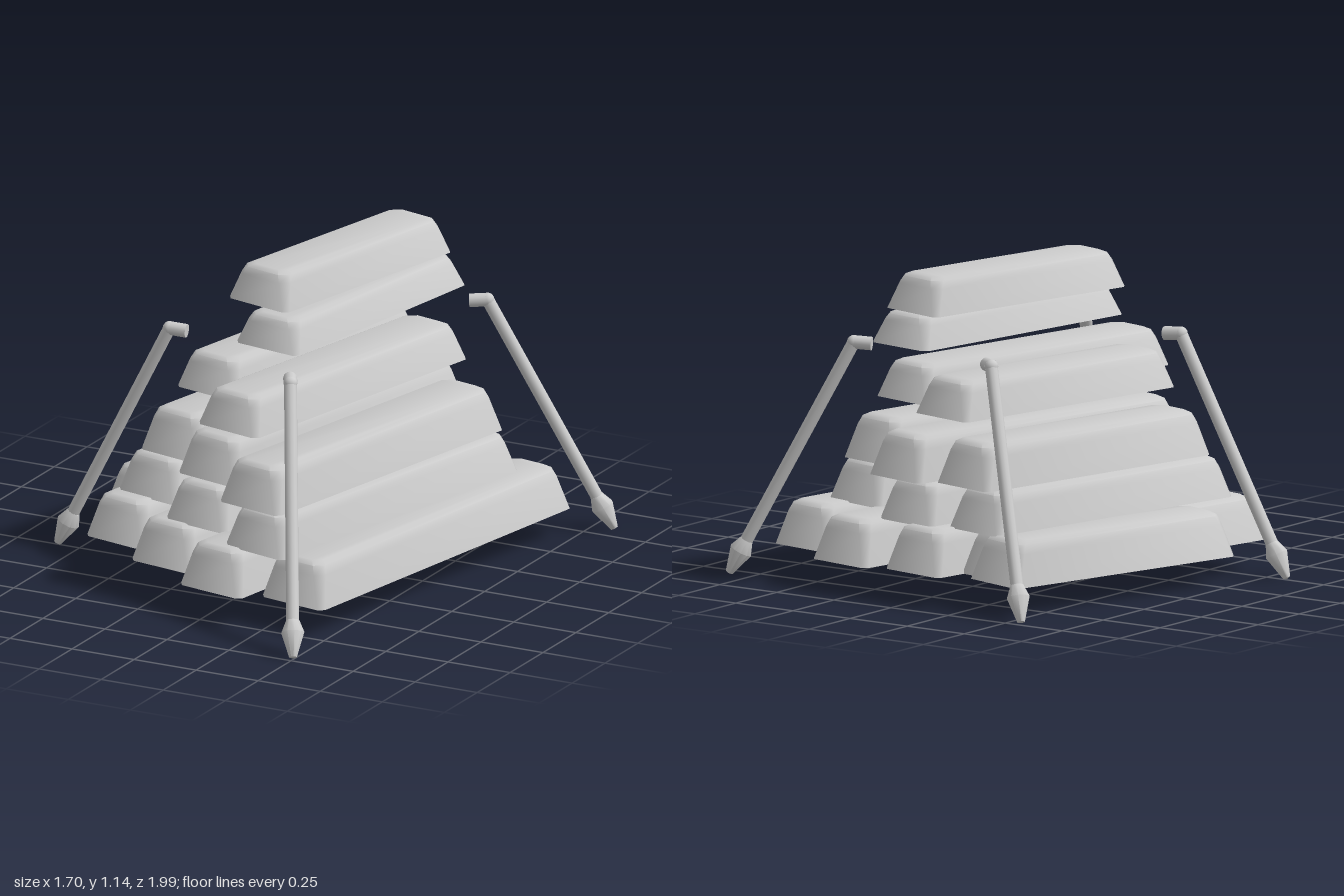
import * as THREE from 'three';
import { toCreasedNormals } from 'three/addons/utils/BufferGeometryUtils.js';

const metal = new THREE.MeshStandardMaterial({ color: 0xcccccc });
metal.name = 'grey metal';

// Tapered bar with chamfered corners and a softened top edge, base at y = 0
function barGeometry(width, length, height) {
  // [height fraction, inset, corner chamfer]
  const levels = [[0, 0, 0.02], [0.72, 0.026, 0.03], [0.92, 0.038, 0.032], [1, 0.06, 0.03]];
  const pos = [], index = [];
  for (const [t, inset, c] of levels) {
    const w = width / 2 - inset, l = length / 2 - inset;
    const ring = [[w, -l + c], [w, l - c], [w - c, l], [-w + c, l], [-w, l - c], [-w, -l + c], [-w + c, -l], [w - c, -l]];
    for (const [x, z] of ring) pos.push(x, t * height, z);
  }
  const n = 8, last = (levels.length - 1) * n;
  for (let j = 0; j < levels.length - 1; j++) {
    for (let i = 0; i < n; i++) {
      const a = j * n + i, b = j * n + (i + 1) % n;
      index.push(a, a + n, b, b, a + n, b + n);
    }
  }
  // bottom and top caps
  for (let i = 1; i < n - 1; i++) {
    index.push(0, i, i + 1);
    index.push(last, last + i + 1, last + i);
  }
  const g = new THREE.BufferGeometry();
  g.setAttribute('position', new THREE.Float32BufferAttribute(pos, 3));
  g.setIndex(index);
  return toCreasedNormals(g, 0.85);
}

// Bar between the centres of its front and back ends
function bar(fx, fz, bx, bz, y, height) {
  const length = Math.hypot(fx - bx, fz - bz);
  const mesh = new THREE.Mesh(barGeometry(0.28, length, height), metal);
  mesh.name = 'bar';
  mesh.position.set((fx + bx) / 2, y, (fz + bz) / 2);
  mesh.rotation.y = Math.atan2(fx - bx, fz - bz);
  return mesh;
}

const UP = new THREE.Vector3(0, 1, 0);

// Place a geometry whose axis is y along the direction from a to b
function along(geometry, a, b, name) {
  const mesh = new THREE.Mesh(geometry, metal);
  mesh.name = name;
  mesh.position.copy(a);
  mesh.quaternion.setFromUnitVectors(UP, b.clone().sub(a).normalize());
  return mesh;
}

function rod(a, b, radius, name) {
  const length = a.distanceTo(b);
  const g = new THREE.CylinderGeometry(radius, radius, length, 12);
  g.translate(0, length / 2, 0);
  return along(g, a, b, name);
}

// Leaning leg: pointed foot, straight rod and a short bent top
function leg(footX, footZ, topX, topZ) {
  const group = new THREE.Group();
  group.name = 'leg';
  const foot = new THREE.Vector3(footX, 0.008, footZ);
  const tip = new THREE.Vector3(topX, 0.858, topZ);
  const out = new THREE.Vector3(footX - topX, 0, footZ - topZ).normalize();
  const elbow = tip.clone().addScaledVector(out, 0.065).setY(0.862);
  const profile = [[0, 0], [0.014, 0.004], [0.042, 0.095], [0.024, 0.14], [0, 0.14]]
    .map(([r, y]) => new THREE.Vector2(r, y));
  group.add(along(toCreasedNormals(new THREE.LatheGeometry(profile, 10), 0.7), foot, elbow, 'foot'));
  const start = foot.clone().lerp(elbow, 0.1);
  group.add(rod(start, elbow, 0.023, 'rod'));
  const joint = new THREE.Mesh(new THREE.SphereGeometry(0.025, 12, 8), metal);
  joint.name = 'elbow';
  joint.position.copy(elbow);
  group.add(joint, rod(elbow, tip, 0.025, 'bentTop'));
  return group;
}

export function createModel() {
  const model = new THREE.Group();
  model.name = 'barStack';

  // Each layer: base height, bar height, bars as [front x, front z, back x, back z]
  const layers = [
    [0.11, 0.16, [[-0.62, 0.1, -0.35, -0.87], [-0.52, 0.42, -0.27, -0.8], [-0.25, 0.58, 0.0, -0.88],
      [0.03, 0.74, 0.32, -0.88], [0.35, 0.72, 0.6, -0.72]]],
    [0.265, 0.15, [[-0.44, 0.33, -0.2, -0.78], [-0.14, 0.53, 0.1, -0.78], [0.18, 0.69, 0.47, -0.58]]],
    [0.42, 0.16, [[-0.37, 0.29, -0.14, -0.77], [-0.13, 0.46, 0.15, -0.78], [0.15, 0.67, 0.41, -0.57]]],
    [0.66, 0.135, [[-0.25, 0.24, -0.04, -0.76], [0.01, 0.57, 0.26, -0.58]]],
    [0.885, 0.115, [[0.02, 0.29, 0.18, -0.71]]],
    [1.01, 0.13, [[-0.065, 0.2, 0.14, -0.69]]],
  ];
  layers.forEach(([y, height, bars], i) => {
    const layer = new THREE.Group();
    layer.name = `layer${i + 1}`;
    for (const [fx, fz, bx, bz] of bars) layer.add(bar(fx, fz, bx, bz, y, height));
    model.add(layer);
  });

  // Four legs around the stack
  model.add(
    leg(-0.84, 0.25, -0.36, 0.17),
    leg(-0.56, -0.985, -0.19, -0.68),
    leg(0.5, 0.985, 0.21, 0.46),
    leg(0.84, -0.82, 0.37, -0.6),
  );
  return model;
}
